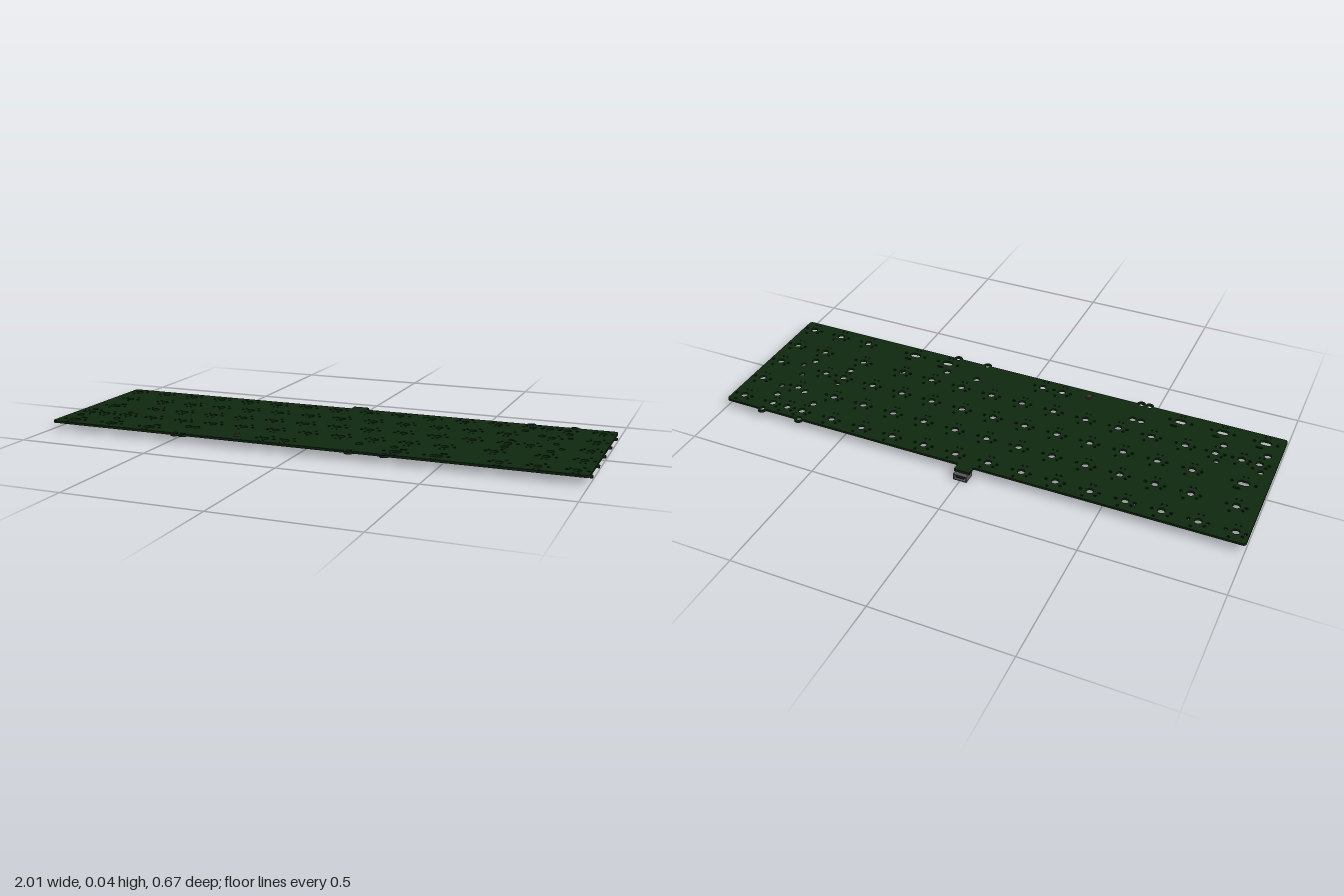
import * as THREE from 'three';

const U = 0.1272;                 // key pitch
const MM = U / 19.05;             // one millimetre
const colX = c => -0.954 + U * c;
const rowZ = r => -0.238 + 0.127 * r;
const TOP = 0.038, BOTTOM = 0.0292;
const BACK = -0.2865, FRONT = 0.3185;

const mat = color => new THREE.MeshStandardMaterial({ color });
const green = mat(0x10280f), dark = mat(0x2c2c2c), steel = mat(0x555555);
const grey = mat(0xaaaaaa), brown = mat(0x4a3a30);

const range = (a, b) => Array.from({ length: b - a + 1 }, (_, i) => a + i);

// Key columns per row; a pair [c, shift] is a slotted, two-position key
const rows = [
  [...range(0, 12), 13, 13.5, 14, 15],
  [0.25, ...range(1, 12).map(c => c + 0.5), 13.75, 15],
  [[0.25, 0.125], ...range(1, 11).map(c => c + 0.75), 12.75, 13.375, 15],
  [0.125, 0.625, 1.375, ...range(2, 11).map(c => c + 0.25), 12.625, 14, 15],
  [[0.125, 0.125], [1.375, 0.125], [2.625, 0.125], 6.375, 7,
    [10.125, 0.125], [11.25, 0.125], 13, 14, 15],
];
const keys = rows.flatMap((row, r) => row.map(k => {
  const [c, shift] = Array.isArray(k) ? k : [k, 0];
  return { x: colX(c + shift / 2), z: rowZ(r), w: shift * U / 2 };
}));

// Stabiliser pairs: column, row, half spacing in units, flipped front to back
const stabs = [[13.5, 0, 0.625, 1], [13.375, 2, 0.625, 1], [0.625, 3, 0.625, 1],
  [6.375, 4, 2.625, -1], [7, 4, 3, -1]];
const bumpsAt = i => [-1, 1].map(s => colX(stabs[i][0]) + s * stabs[i][2] * U);

// Collects holes, leaving out any that would run into an earlier one
function collectHoles() {
  const holes = [];
  const add = (x, z, r, w = 0) => {
    const clash = holes.some(h => {
      const dx = Math.max(0, Math.abs(x - h.x) - w - h.w);
      return Math.hypot(dx, z - h.z) < r + h.r + 0.0012;
    });
    if (!clash) holes.push({ x, z, r, w });
  };
  for (const k of keys) add(k.x, k.z, 2 * MM, k.w);
  for (const [c, r, d, flip] of stabs) for (const s of [-1, 1]) {
    const x = colX(c) + s * d * U;
    add(x, rowZ(r) - flip * 7 * MM, 1.53 * MM);
    add(x, rowZ(r) + flip * 8.24 * MM, 2 * MM);
  }
  // upright stabiliser of the tall enter key
  const ex = colX(13.875), ez = rowZ(1.5);
  add(ex, ez, 2 * MM);
  for (const s of [-1, 1]) {
    add(ex - 8.24 * MM, ez + s * 11.9 * MM, 2 * MM);
    add(ex + 7 * MM, ez + s * 11.9 * MM, 1.53 * MM);
  }
  // guide posts, switch pins and lamp pins
  for (const k of keys) {
    for (const s of [-1, 1]) add(k.x + s * (5.08 * MM + k.w), k.z, 0.88 * MM);
    add(k.x - 3.81 * MM, k.z - 2.54 * MM, 0.75 * MM, k.w);
    add(k.x + 2.54 * MM, k.z - 5.08 * MM, 0.75 * MM, k.w);
    for (const s of [-1, 1]) add(k.x + s * 1.27 * MM, k.z + 5.08 * MM, 0.5 * MM);
  }
  return holes;
}

function slotPath({ x, z, r, w }) {
  const n = r > 0.009 ? 16 : 10, pts = [];
  for (let i = 0; i < n; i++) {
    const a = ((i + 0.5) / n) * Math.PI * 2;
    pts.push(new THREE.Vector2(x + Math.sign(Math.cos(a)) * w + r * Math.cos(a), z + r * Math.sin(a)));
  }
  return new THREE.Path(pts);
}

// Board outline with rounded corners, pad bumps and the connector tongue
function boardGeometry() {
  const s = new THREE.Shape(), c = 0.012, R = 0.0165, P = Math.PI;
  s.moveTo(-1 + c, BACK);
  for (const [x, z] of [[-0.03, BACK], [-0.03, -0.32], [0.03, -0.32], [0.03, BACK]]) s.lineTo(x, z);
  for (const x of bumpsAt(0)) s.absarc(x, BACK, R, P, 2 * P, false);
  s.absarc(1 - c, BACK + c, c, -P / 2, 0, false);
  s.absarc(1 - c, FRONT - c, c, 0, P / 2, false);
  const front = [...bumpsAt(3), ...bumpsAt(4)].sort((a, b) => b - a);
  for (const x of front) s.absarc(x, FRONT, R, 0, P, false);
  s.absarc(-1 + c, FRONT - c, c, P / 2, P, false);
  s.absarc(-1 + c, BACK + c, c, P, 1.5 * P, false);
  s.holes = collectHoles().map(slotPath);
  const g = new THREE.ExtrudeGeometry(s, { depth: TOP - BOTTOM, bevelEnabled: false, curveSegments: 6 });
  return g.rotateX(Math.PI / 2).translate(0, TOP, 0);
}

export function createModel() {
  const model = new THREE.Group();
  const add = (name, geo, material, parent = model) => {
    const m = new THREE.Mesh(geo, material);
    m.name = name;
    parent.add(m);
    return m;
  };
  // box hanging from the underside of the board
  const under = (name, x, z, w, h, d, material, parent) =>
    add(name, new THREE.BoxGeometry(w, h, d), material, parent).position.set(x, BOTTOM - h / 2, z);
  const group = name => {
    const g = new THREE.Group();
    g.name = name;
    model.add(g);
    return g;
  };

  add('circuitBoard', boardGeometry(), green);

  // one diode beside every key
  const diodes = group('diodes');
  for (const k of keys) under('diode', k.x + 0.047, k.z + 0.012, 0.009, 0.008, 0.016, dark, diodes);

  // socket shell, open towards the back
  const shell = new THREE.Shape(), mouth = new THREE.Path();
  const rect = (p, w, h) => p.moveTo(-w, -h).lineTo(w, -h).lineTo(w, h).lineTo(-w, h).closePath();
  rect(shell, 0.026, 0.012);
  rect(mouth, 0.022, 0.0085);
  shell.holes.push(mouth);
  const socket = group('cableSocket');
  add('socketShell', new THREE.ExtrudeGeometry(shell, { depth: 0.047, bevelEnabled: false }), steel, socket)
    .position.set(0, 0.017, -0.3365);
  add('socketCore', new THREE.BoxGeometry(0.044, 0.017, 0.025), dark, socket).position.set(0, 0.017, -0.302);
  add('socketTongue', new THREE.BoxGeometry(0.03, 0.005, 0.02), dark, socket).position.set(0, 0.017, -0.324);

  // controller chip with legs on four sides
  const chip = group('controllerChip');
  under('chipBody', 0.56, 0.131, 0.046, 0.015, 0.046, dark, chip);
  for (const s of [-1, 1]) for (let i = -4; i <= 4; i++) {
    under('chipLeg', 0.56 + i * 0.0045, 0.131 + s * 0.026, 0.002, 0.006, 0.008, steel, chip);
    under('chipLeg', 0.56 + s * 0.026, 0.131 + i * 0.0045, 0.008, 0.006, 0.002, steel, chip);
  }

  // larger parts on the underside
  under('resetButton', -0.83, -0.016, 0.036, 0.0238, 0.027, mat(0xcccccc));
  under('smallChip', 0.56, -0.058, 0.04, 0.015, 0.032, dark);
  under('crystal', 0.45, -0.165, 0.026, 0.015, 0.028, grey);
  under('plugHeader', -0.9, -0.17, 0.036, 0.015, 0.022, steel);

  // small resistors and capacitors around the chip
  const passives = group('smallComponents');
  for (let i = 0; i < 9; i++) {
    under('capacitor', 0.45 + 0.03 * i, 0.225 + 0.02 * (i % 2), 0.012, 0.009, 0.008, steel, passives);
    under('resistor', 0.46 + 0.025 * i, 0.075 - 0.008 * (i % 3), 0.007, 0.007, 0.012, dark, passives);
  }
  for (const z of [0.1, 0.13, 0.16, 0.19]) for (const x of [0.49, 0.63])
    under('capacitor', x, z, 0.012, 0.008, 0.008, steel, passives);

  // indicator lamp on the upper face
  add('indicatorLamp', new THREE.BoxGeometry(0.016, 0.009, 0.018), brown).position.set(-0.25, TOP + 0.0045, 0.2765);
  return model;
}
